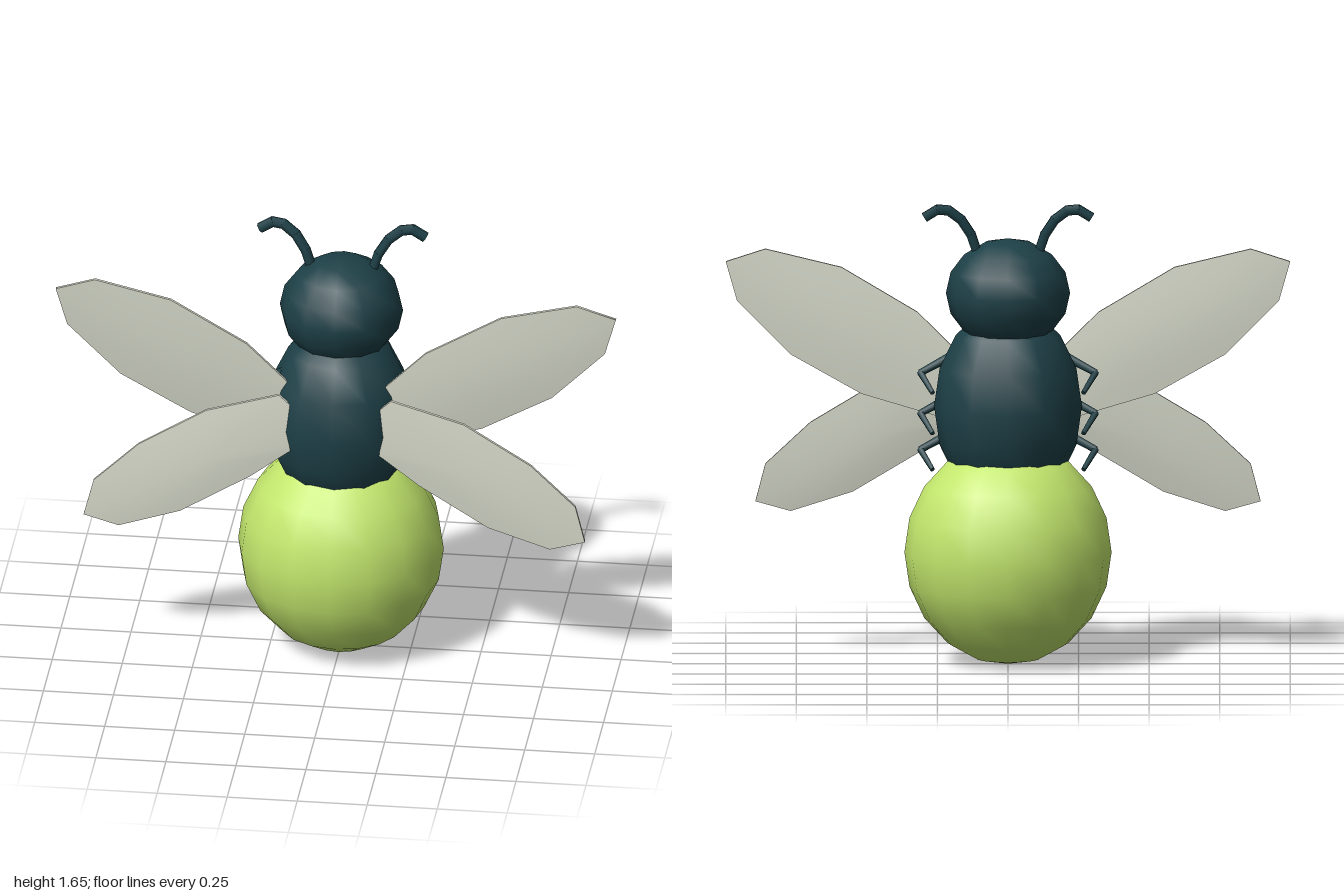
import * as THREE from 'three';

const mat = (name, color) => {
  const m = new THREE.MeshStandardMaterial({ color });
  m.name = name;
  return m;
};

// Thin lens-shaped wing: a counter-clockwise outline swollen towards its middle, with a narrow rim.
function wingGeometry(outline, side, zAt) {
  const n = outline.length;
  const cx = outline.reduce((s, p) => s + p[0], 0) / n;
  const cy = outline.reduce((s, p) => s + p[1], 0) / n;
  const rings = [[1, 0.006], [0.7, 0.011], [0.35, 0.015]]; // scale, half thickness
  const pos = [], idx = [];
  const vertex = (x, y, dz) => pos.push(side * x, y, zAt(x, y) + dz) / 3 - 1;
  const tri = (a, b, c) => (side > 0 ? idx.push(a, b, c) : idx.push(a, c, b));

  for (const face of [1, -1]) {
    const start = pos.length / 3;
    for (const [s, h] of rings)
      for (const [x, y] of outline) vertex(cx + (x - cx) * s, cy + (y - cy) * s, face * h);
    const mid = vertex(cx, cy, face * 0.016);
    const put = (a, b, c) => (face > 0 ? tri(a, b, c) : tri(a, c, b));
    for (let i = 0; i < n; i++) {
      const j = (i + 1) % n;
      for (let r = 0; r < rings.length - 1; r++) {
        const a = start + r * n + i, b = start + r * n + j;
        put(a, b, a + n);
        put(b, b + n, a + n);
      }
      const last = start + (rings.length - 1) * n;
      put(last + i, last + j, mid);
    }
  }
  // rim
  const rim = pos.length / 3;
  for (const dz of [0.006, -0.006]) for (const [x, y] of outline) vertex(x, y, dz);
  for (let i = 0; i < n; i++) {
    const a = rim + i, b = rim + ((i + 1) % n);
    tri(a, a + n, b);
    tri(b, a + n, b + n);
  }
  const g = new THREE.BufferGeometry();
  g.setAttribute('position', new THREE.Float32BufferAttribute(pos, 3));
  g.setIndex(idx);
  g.computeVertexNormals();
  return g;
}

export function createModel() {
  const model = new THREE.Group();
  model.name = 'firefly';
  const dark = mat('dark teal', 0x1d4047);
  const glow = mat('glowing green', 0xc2e66c);
  const pale = mat('pale wing', 0xd3d6c7);

  const add = (name, geometry, material, parent = model) => {
    const m = new THREE.Mesh(geometry, material);
    m.name = name;
    parent.add(m);
    return m;
  };

  // Body: three stacked ellipsoids
  const ellipsoid = (name, material, r, p, segments, rows) => {
    const m = add(name, new THREE.SphereGeometry(1, segments, rows), material);
    m.scale.set(...r);
    m.position.set(...p);
  };
  ellipsoid('abdomen', glow, [0.367, 0.4, 0.335], [0, 0.4, 0], 16, 10);
  ellipsoid('thorax', dark, [0.262, 0.362, 0.243], [0, 0.92, 0.012], 12, 8);
  ellipsoid('head', dark, [0.22, 0.195, 0.215], [0, 1.33, -0.012], 12, 8);

  // Jointed limb: capped cylinders between points, tapering from the first radius to the last
  const limb = (name, points, r0, r1, side) => {
    const group = new THREE.Group();
    group.name = name;
    const p = points.map(([x, y, z]) => new THREE.Vector3(side * x, y, z));
    const count = p.length - 1;
    const radius = (i) => r0 + ((r1 - r0) * i) / count;
    for (let i = 0; i < count; i++) {
      const dir = p[i + 1].clone().sub(p[i]);
      const length = dir.length() + r1 * 0.5;
      const seg = add('segment', new THREE.CylinderGeometry(radius(i + 1), radius(i), length, 6), dark, group);
      seg.position.copy(p[i]).addScaledVector(dir, 0.5);
      seg.quaternion.setFromUnitVectors(new THREE.Vector3(0, 1, 0), dir.normalize());
    }
    model.add(group);
  };

  const upper = [[0.1, 1.02], [0.12, 0.9], [0.25, 0.87], [0.52, 0.95], [0.77, 1.09], [0.96, 1.28],
    [1, 1.42], [0.86, 1.465], [0.59, 1.4], [0.32, 1.24]];
  const lower = [[0.1, 0.97], [0.11, 0.88], [0.18, 0.83], [0.3, 0.74], [0.55, 0.59], [0.77, 0.52],
    [0.895, 0.555], [0.86, 0.69], [0.7, 0.84], [0.46, 0.985], [0.2, 1.06]];

  for (const side of [1, -1]) {
    const label = side > 0 ? 'left' : 'right';

    // Wings
    add(label + 'UpperWing', wingGeometry(upper, side, (x, y) => 0.118 + 0.045 * (y - 0.87)), pale);
    add(label + 'LowerWing', wingGeometry(lower, side, (x, y) => 0.19 - 0.04 * (y - 0.52)), pale);

    // Legs
    [1.085, 0.94, 0.81].forEach((y, i) =>
      limb(label + 'Leg' + (i + 1),
        [[0.2, y + 0.01, 0.055], [0.31, y - 0.045, 0.015], [0.268, y - 0.105, -0.058]], 0.016, 0.009, side));

    // Antenna
    limb(label + 'Antenna', [[0.11, 1.48, -0.025], [0.13, 1.54, -0.03], [0.165, 1.595, -0.038],
      [0.21, 1.63, -0.045], [0.25, 1.634, -0.05], [0.292, 1.608, -0.05]], 0.019, 0.019, side);
  }
  return model;
}
